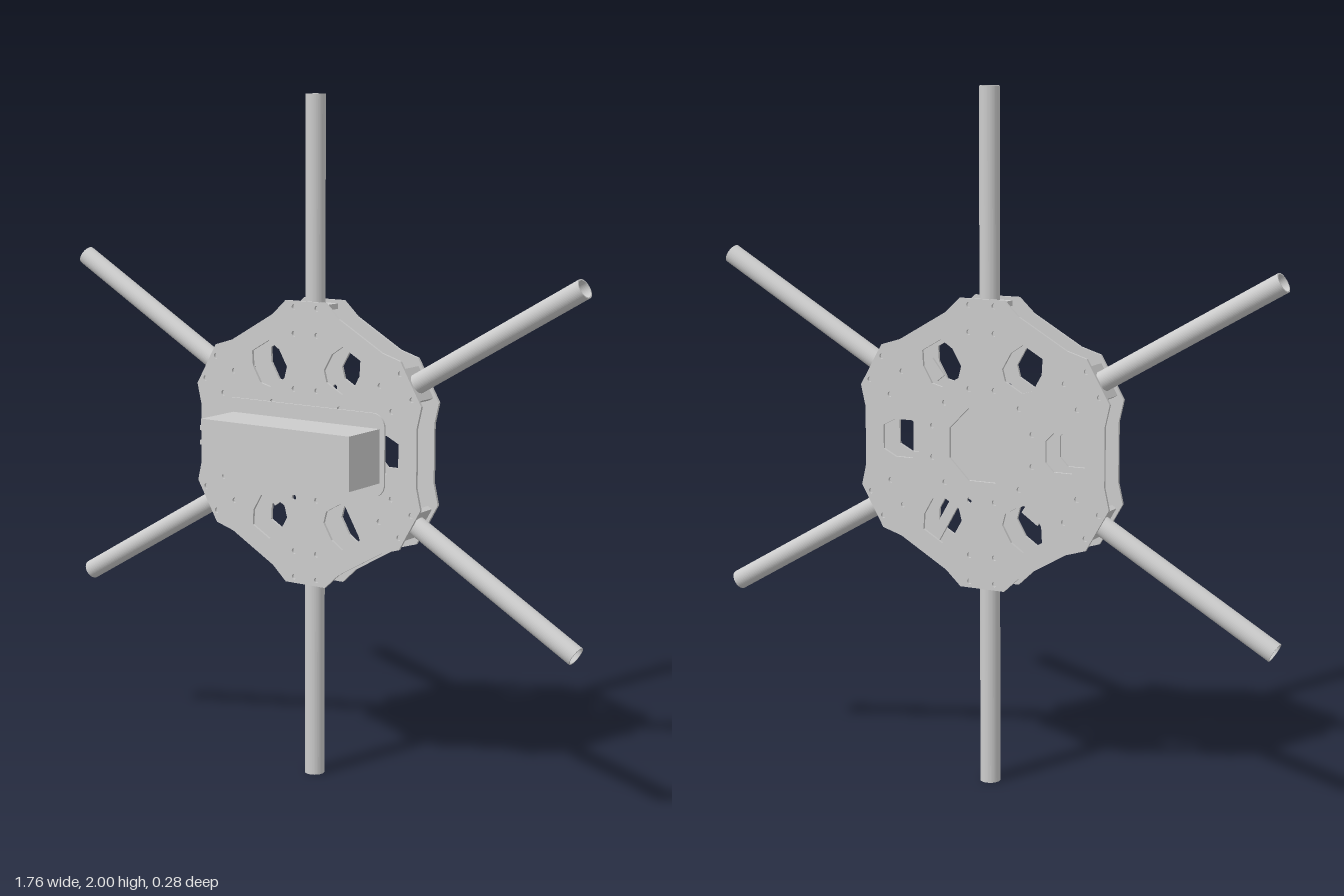
import * as THREE from 'three';

const CY = 1, CZ = -0.09;           // hub centre
const HALF = 0.05, SHEET = 0.008;   // half gap between deck outsides, sheet thickness
const mat = new THREE.MeshStandardMaterial({ color: 0xcccccc });

function add(parent, name, geometry, x = 0, y = 0, z = 0) {
  const mesh = new THREE.Mesh(geometry, mat);
  mesh.name = name;
  mesh.position.set(x, y, z);
  parent.add(mesh);
  return mesh;
}

// turn 2D points around the hub
function turn(points, angle) {
  return points.map(([x, y]) => new THREE.Vector2(x, y).rotateAround(new THREE.Vector2(), angle));
}

function circleHole(p, r) {
  return new THREE.Path().absarc(p.x, p.y, r, 0, Math.PI * 2, true);
}

const sheet = (shape, depth) => new THREE.ExtrudeGeometry(shape, { depth, bevelEnabled: false, curveSegments: 8 });

// twelve-sided deck with arm tabs, six windows and screw holes
function deckGeometry(centreHole) {
  const outline = [], holes = [];
  const tab = [[0.38, -0.085], [0.38, 0.085]];
  const window6 = [[0.32, -0.035], [0.28, -0.055], [0.225, -0.055], [0.2, -0.03],
    [0.2, 0.03], [0.225, 0.055], [0.28, 0.055], [0.32, 0.035]];
  const armScrews = [[0.397, 0.04], [0.397, -0.04], [0.32, 0.04], [0.32, -0.04]];
  for (let i = 0; i < 6; i++) {
    const a = i * Math.PI / 3;
    outline.push(...turn(tab, a), ...turn([[0.415, -0.07], [0.415, 0.07]], a + Math.PI / 6));
    holes.push(new THREE.Path(turn(window6, a).reverse()));
    for (const p of turn(armScrews, a + Math.PI / 6)) holes.push(circleHole(p, 0.008));
    for (const p of turn([[0.16, 0.04], [0.16, -0.04]], a + Math.PI / 6)) holes.push(circleHole(p, 0.008));
  }
  if (centreHole) {
    const oct = Array.from({ length: 8 }, (_, i) => new THREE.Vector2(0.112, 0)
      .rotateAround(new THREE.Vector2(), -(i + 0.5) * Math.PI / 4));
    holes.push(new THREE.Path(oct));
  }
  const shape = new THREE.Shape(outline);
  shape.holes.push(...holes);
  return sheet(shape, SHEET);
}

// hollow tube running along +y
function tubeGeometry(from, to, outer, inner) {
  const profile = [[inner, from], [outer, from], [outer, to], [inner, to], [inner, from]];
  const geos = new THREE.Shape().absarc(0, 0, outer, 0, Math.PI * 2, false);
  geos.holes.push(circleHole(new THREE.Vector2(), inner));
  const g = new THREE.ExtrudeGeometry(geos, { depth: profile[2][1] - from, bevelEnabled: false, curveSegments: 24 });
  return g.rotateX(-Math.PI / 2).translate(0, from, 0);
}

// upright clamp plate with a bore for the arm
function clampGeometry() {
  const w = 0.05, h = HALF - SHEET;
  const s = new THREE.Shape([[-w, -h], [w, -h], [w, h], [-w, h]].map(p => new THREE.Vector2(...p)));
  s.holes.push(circleHole(new THREE.Vector2(), 0.028));
  return sheet(s, 0.016).rotateX(-Math.PI / 2).translate(0, -0.008, 0);
}

function roundedRect(w, h, r) {
  const s = new THREE.Shape(), x = w / 2 - r, y = h / 2 - r;
  s.absarc(x, y, r, 0, Math.PI / 2);
  s.absarc(-x, y, r, Math.PI / 2, Math.PI);
  s.absarc(-x, -y, r, Math.PI, Math.PI * 1.5);
  s.absarc(x, -y, r, Math.PI * 1.5, Math.PI * 2);
  return s;
}

export function createModel() {
  const model = new THREE.Group();
  model.name = 'sixArmFrame';

  // two decks
  add(model, 'frontDeck', deckGeometry(false), 0, CY, CZ + HALF - SHEET);
  add(model, 'backDeck', deckGeometry(true), 0, CY, CZ - HALF);

  // arms and their clamps
  const armGeo = tubeGeometry(0.3, 1, 0.029, 0.025);
  const clampGeo = clampGeometry();
  for (let i = 0; i < 6; i++) {
    const arm = new THREE.Group();
    arm.name = 'arm' + (i + 1);
    arm.position.set(0, CY, CZ);
    arm.rotation.z = i * Math.PI / 3;
    add(arm, 'armTube', armGeo);
    add(arm, 'innerClamp', clampGeo, 0, 0.32, 0);
    add(arm, 'outerClamp', clampGeo, 0, 0.397, 0);
    model.add(arm);
  }

  // small straps lying on the back deck behind the windows
  const straps = [[0.155, 0.205, 0.06, 0.9], [0.12, -0.22, 0.16, -Math.PI / 3], [-0.155, -0.185, 0.06, 0.6]];
  for (const [x, y, length, angle] of straps) {
    add(model, 'strap', new THREE.BoxGeometry(length, 0.03, 0.008), x, CY + y, CZ - HALF + SHEET + 0.004)
      .rotation.z = angle;
  }

  // battery on its tray
  add(model, 'batteryTray', sheet(roundedRect(0.58, 0.24, 0.04), 0.006), 0, CY, -0.02);
  add(model, 'battery', new THREE.BoxGeometry(0.515, 0.155, 0.152), 0.0175, CY, 0.063);

  // battery leads
  for (const [y, end] of [[0.022, -0.35], [0, -0.32], [-0.022, -0.35]]) {
    const length = -0.235 - end;
    add(model, 'batteryLead', new THREE.BoxGeometry(length, 0.014, 0.016), end + length / 2, CY + y, -0.002);
  }
  return model;
}
